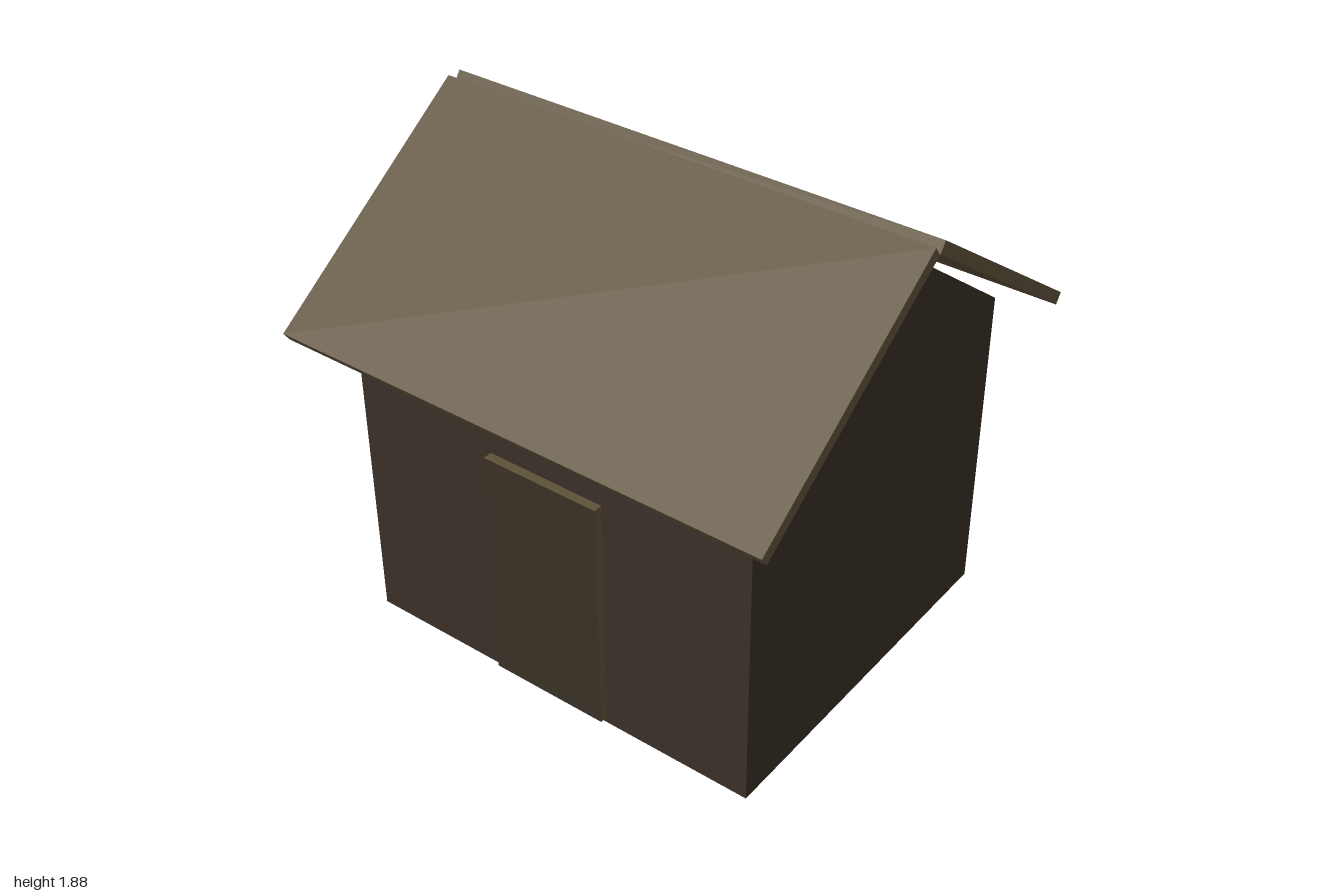
import * as THREE from 'three';

const mat = (name, hex) => {
  const m = new THREE.MeshStandardMaterial({ color: hex });
  m.name = name;
  return m;
};

export function createModel() {
  const house = new THREE.Group();
  house.name = 'house';
  const wood = mat('roofWood', 0x5e5139);
  const wall = mat('wallBrown', 0x392f27);
  const doorFace = mat('doorBrown', 0x393125);

  const add = (name, geometry, material, x, y, z) => {
    const mesh = new THREE.Mesh(geometry, material);
    mesh.name = name;
    mesh.position.set(x, y, z);
    house.add(mesh);
    return mesh;
  };

  // Solid walls: gable outline extruded along x
  const halfDepth = 0.735, halfWidth = 0.84;
  const gable = new THREE.Shape([
    [-halfDepth, 0], [halfDepth, 0], [halfDepth, 1.265], [0, 1.81], [-halfDepth, 1.265],
  ].map(([u, v]) => new THREE.Vector2(u, v)));
  const body = new THREE.ExtrudeGeometry(gable, { depth: halfWidth * 2, bevelEnabled: false });
  body.translate(0, 0, -halfWidth);
  body.rotateY(Math.PI / 2);
  add('walls', body, wall, 0, 0, 0);

  // Two roof slabs meeting at the ridge, clear of the walls
  for (const side of [1, -1]) {
    const slab = add(side > 0 ? 'frontRoof' : 'backRoof',
      new THREE.BoxGeometry(2, 0.047, 1.094), wood, 0, 1.55, side * 0.4625);
    slab.rotation.x = side * 0.613;
  }

  // Door slab: wooden edges, dark front face (box groups: +x, -x, +y, -y, +z, -z)
  add('door', new THREE.BoxGeometry(0.48, 0.945, 0.04),
    [wood, wood, wood, wood, doorFace, wood], 0, 0.5025, 0.75);

  return house;
}
